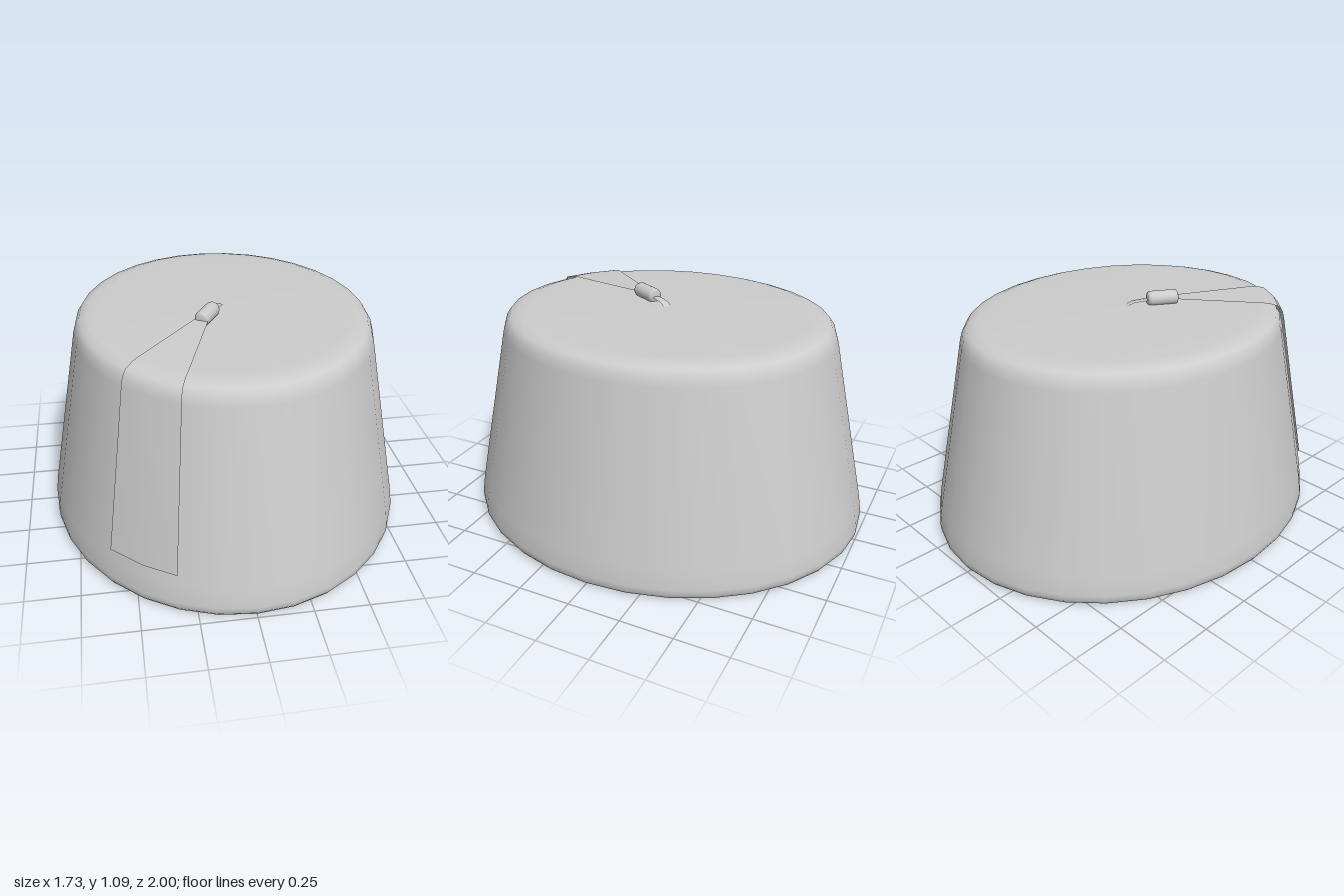
import * as THREE from 'three';

const OVAL = 0.865; // width of the oval relative to its depth

// Point on the oval hat at a given angle (degrees), radius and height
const onHat = (deg, r, y) => {
  const a = THREE.MathUtils.degToRad(deg);
  return [Math.sin(a) * r * OVAL, y, Math.cos(a) * r];
};

// Oval surface of revolution from [radius, height] pairs
function ovalLathe(profile, material, name) {
  const geometry = new THREE.LatheGeometry(profile.map(([r, y]) => new THREE.Vector2(r, y)), 32);
  geometry.scale(OVAL, 1, 1);
  const mesh = new THREE.Mesh(geometry, material);
  mesh.name = name;
  return mesh;
}

// Sheet through rows of points, all rows the same length
function sheet(rows, material, name) {
  const n = rows[0].length;
  const index = [];
  for (let i = 0; i < rows.length - 1; i++) {
    for (let j = 0; j < n - 1; j++) {
      const a = i * n + j, b = a + n;
      index.push(a, a + 1, b, a + 1, b + 1, b);
    }
  }
  const geometry = new THREE.BufferGeometry();
  geometry.setAttribute('position', new THREE.Float32BufferAttribute(rows.flat(2), 3));
  geometry.setIndex(index);
  geometry.computeVertexNormals();
  const mesh = new THREE.Mesh(geometry, material);
  mesh.name = name;
  return mesh;
}

export function createModel() {
  const group = new THREE.Group();
  group.name = 'tasselledHat';
  const felt = new THREE.MeshStandardMaterial({ color: 0xcccccc, side: THREE.DoubleSide });
  felt.name = 'greyFelt';

  // Outer shell: rounded brim, tapered wall, rounded shoulder, faintly domed crown
  group.add(ovalLathe([
    [0.925, 0.012], [0.965, 0.004], [0.985, 0.012], [0.998, 0.03], [1, 0.06],
    [0.985, 0.15], [0.815, 0.94], [0.802, 0.98], [0.78, 1.01], [0.735, 1.024],
    [0.68, 1.027], [0.4, 1.032], [0, 1.037],
  ], felt, 'hatShell'));

  // Hollow inside
  group.add(ovalLathe([
    [0, 0.975], [0.65, 0.968], [0.71, 0.955], [0.745, 0.92], [0.925, 0.012],
  ], felt, 'hatLining'));

  // Flat tassel hanging over the front edge of the crown
  const angles = [-45.4, -33.75, -23];
  const rows = [[0.983, 0.2], [0.826, 0.95], [0.815, 0.99], [0.79, 1.018], [0.74, 1.032], [0.69, 1.036]]
    .map(([r, y]) => angles.map((deg) => onHat(deg, r, y)));
  rows.push([[-0.155, 1.058, 0.195], [-0.128, 1.058, 0.213], [-0.1, 1.058, 0.23]]);
  group.add(sheet(rows, felt, 'tassel'));

  // Bead gathering the tassel
  const bead = new THREE.Mesh(new THREE.LatheGeometry([
    [0, -0.075], [0.022, -0.075], [0.032, -0.07], [0.036, -0.058],
    [0.036, 0.058], [0.032, 0.07], [0.022, 0.075], [0, 0.075],
  ].map(([r, y]) => new THREE.Vector2(r, y)), 20), felt);
  bead.name = 'tasselBead';
  bead.position.set(-0.094, 1.06, 0.156);
  bead.quaternion.setFromUnitVectors(
    new THREE.Vector3(0, 1, 0), new THREE.Vector3(0.5, 0, -0.866).normalize());
  group.add(bead);

  // Short cord from the bead to the middle of the crown
  const cord = [[-0.07, 1.057, 0.115], [-0.04, 1.055, 0.062], [-0.02, 1.05, 0.028], [-0.006, 1.036, 0.005]]
    .map(([x, y, z]) => [[x - 0.017, y, z - 0.01], [x, y + 0.004, z], [x + 0.017, y, z + 0.01]]);
  group.add(sheet(cord.reverse().map((row) => row.reverse()), felt, 'cord'));

  return group;
}
